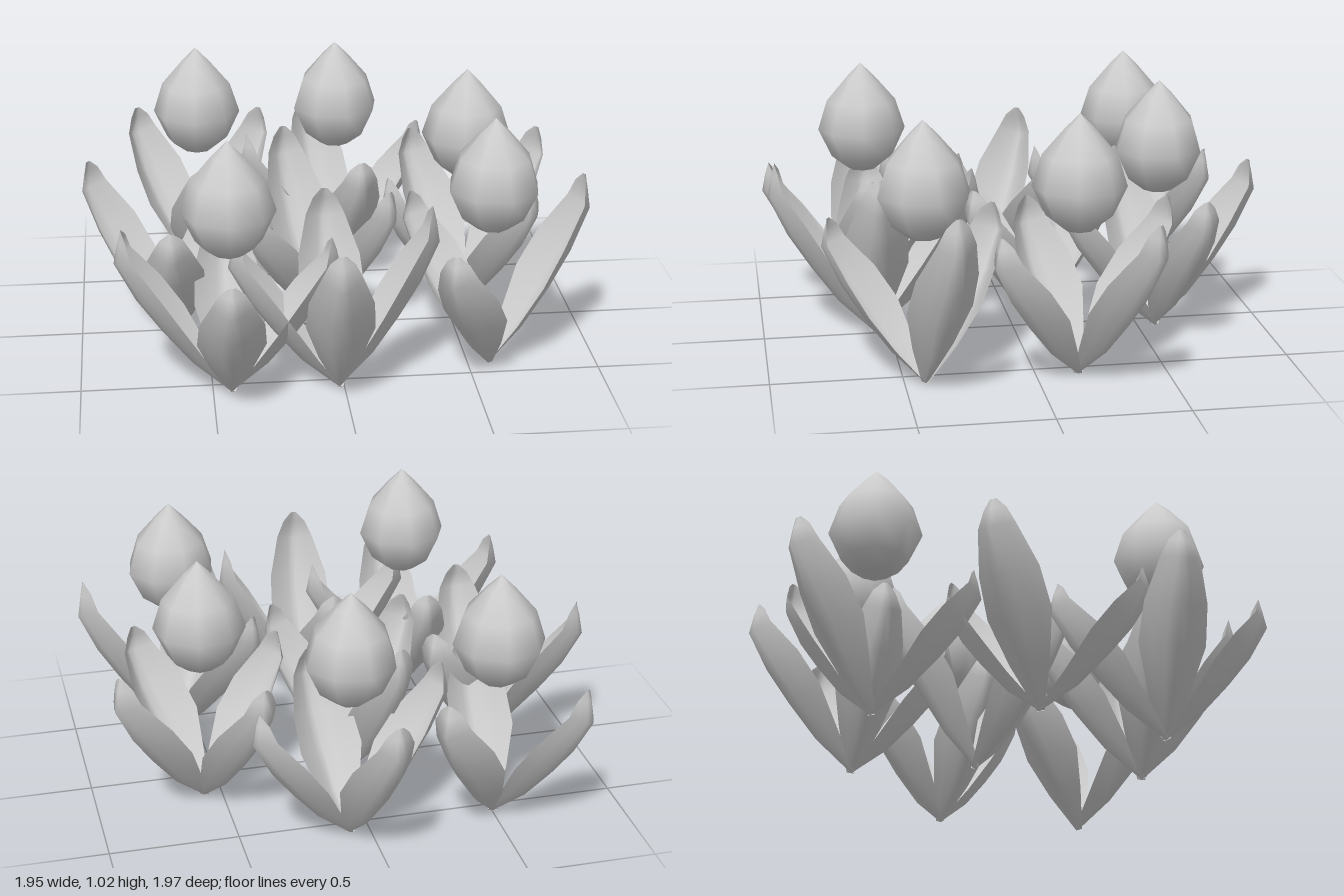
import * as THREE from 'three';

const material = new THREE.MeshStandardMaterial({ color: 0xcccccc, side: THREE.DoubleSide });

// Leaf cross-sections from base to tip: [outward, height, half width, cup depth]
const REACH = 0.42, HEIGHT = 0.68;
const SECTIONS = [
  [0, 0.005, 0.015, 0.01],
  [0.14, 0.13, 0.08, 0.065],
  [0.25, 0.27, 0.128, 0.095],
  [0.34, 0.4, 0.12, 0.1],
  [0.415, 0.55, 0.075, 0.07],
  [0.4, 0.63, 0.045, 0.035],
  [0.385, 0.68, 0.012, 0.0],
];

// Cupped leaf leaning out along +z, its rims lifted towards the plant's middle
function leafGeometry() {
  const across = [-1, -0.65, -0.3, 0, 0.3, 0.65, 1];
  const n = across.length, positions = [], index = [];
  for (const [out, y, half, depth] of SECTIONS) {
    for (const s of across) {
      const lift = depth * Math.pow(Math.abs(s), 1.3);
      positions.push(s * half, y + lift * 0.5, out - lift * 0.87);
    }
  }
  for (let i = 0; i < SECTIONS.length - 1; i++) {
    for (let j = 0; j < n - 1; j++) {
      const a = i * n + j, b = a + 1, c = a + n, d = c + 1;
      index.push(a, b, c, b, d, c);
    }
  }
  const g = new THREE.BufferGeometry();
  g.setAttribute('position', new THREE.Float32BufferAttribute(positions, 3));
  g.setIndex(index);
  g.computeVertexNormals();
  return g;
}

// Pointed bud, turned around its axis
function budGeometry() {
  const profile = [[0, 0.565], [0.06, 0.58], [0.125, 0.63], [0.178, 0.745],
    [0.14, 0.865], [0.055, 0.965], [0, 1.02]];
  return new THREE.LatheGeometry(profile.map(([r, y]) => new THREE.Vector2(r, y)), 8);
}

// Each plant: base [x, z], whether it carries a bud, leaf tips [x, z, height]
const PLANTS = [
  { base: [-0.5, -0.55], bud: true,
    tips: [[-0.77, -0.88, 0.66], [-0.2, -0.86, 0.65], [-0.5, -0.14, 0.62]] },
  { base: [0.08, -0.57], bud: true,
    tips: [[-0.01, -1, 0.66], [0.48, -0.69, 0.62], [0.16, -0.16, 0.62], [-0.33, -0.48, 0.65]] },
  { base: [0.57, -0.16], bud: true,
    tips: [[0.94, -0.41, 0.68], [0.38, -0.57, 0.64], [0.21, 0, 0.62], [0.8, 0.19, 0.62]] },
  { base: [0.58, 0.42], bud: true,
    tips: [[0.98, 0.33, 0.75], [0.37, 0.79, 0.61], [0.28, 0.1, 0.62]] },
  { base: [-0.43, 0.56], bud: true,
    tips: [[-0.86, 0.55, 0.68], [-0.44, 0.98, 0.61], [-0.01, 0.56, 0.62], [-0.43, 0.12, 0.62]] },
  { base: [-0.63, 0.05], bud: false,
    tips: [[-0.98, -0.19, 0.68], [-0.32, -0.26, 0.64], [-0.64, 0.48, 0.61]] },
  { base: [-0.04, -0.1], bud: false,
    tips: [[-0.16, -0.48, 0.7], [-0.36, 0.22, 0.62], [0.24, 0.21, 0.64]] },
  { base: [-0.02, 0.56], bud: false,
    tips: [[-0.04, 0.12, 0.66], [0.36, 0.56, 0.73], [-0.05, 0.97, 0.71], [-0.44, 0.56, 0.64]] },
];

export function createModel() {
  const model = new THREE.Group();
  model.name = 'flowerBed';
  const leaf = leafGeometry(), bud = budGeometry();

  PLANTS.forEach(({ base, bud: hasBud, tips }, i) => {
    const plant = new THREE.Group();
    plant.name = `plant${i + 1}`;
    plant.position.set(base[0], 0, base[1]);

    // Leaves fanned around the base
    for (const [x, z, height] of tips) {
      const dx = x - base[0], dz = z - base[1];
      const mesh = new THREE.Mesh(leaf, material);
      mesh.name = 'leaf';
      mesh.rotation.y = Math.atan2(dx, dz);
      mesh.scale.set(1, height / HEIGHT, Math.hypot(dx, dz) / REACH);
      plant.add(mesh);
    }

    // Bud hovering above the leaves
    if (hasBud) {
      const mesh = new THREE.Mesh(bud, material);
      mesh.name = 'bud';
      mesh.rotation.y = Math.atan2(tips[0][0] - base[0], tips[0][1] - base[1]);
      plant.add(mesh);
    }
    model.add(plant);
  });
  return model;
}
